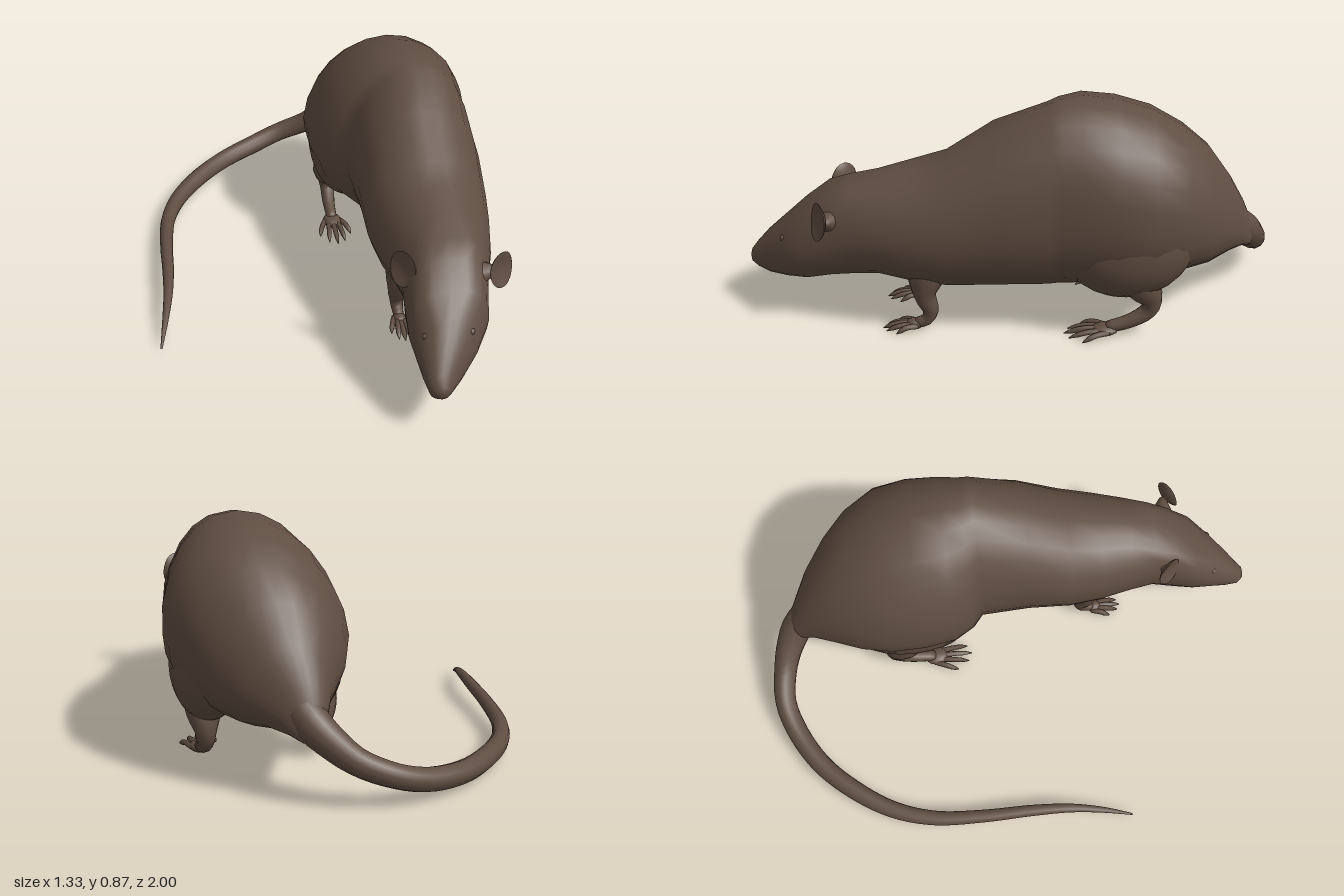
import * as THREE from 'three';

const fur = new THREE.MeshStandardMaterial({ color: 0x5f4d41 });
fur.name = 'brown fur';

// Skin a list of closed rings, with a pole at each end
function skin(rings, startPole, endPole) {
  const n = rings[0].length, pos = [], idx = [];
  rings.forEach(r => r.forEach(p => pos.push(p.x, p.y, p.z)));
  const s = rings.length * n, e = s + 1, last = (rings.length - 1) * n;
  pos.push(startPole.x, startPole.y, startPole.z, endPole.x, endPole.y, endPole.z);
  for (let i = 0; i < n; i++) {
    const j = (i + 1) % n;
    idx.push(s, j, i, e, last + i, last + j);
    for (let k = 0; k < rings.length - 1; k++) {
      const a = k * n + i, b = k * n + j;
      idx.push(a, b, b + n, a, b + n, a + n);
    }
  }
  const g = new THREE.BufferGeometry();
  g.setAttribute('position', new THREE.Float32BufferAttribute(pos, 3));
  g.setIndex(idx);
  g.computeVertexNormals();
  return g;
}

// Tapered tube through points [x, y, z, radius]
function taper(pts, steps, sides) {
  const curve = new THREE.CatmullRomCurve3(pts.map(p => new THREE.Vector3(p[0], p[1], p[2])));
  const f = curve.computeFrenetFrames(steps);
  const rings = [];
  for (let k = 0; k <= steps; k++) {
    const u = k / steps, t = curve.getUtoTmapping(u) * (pts.length - 1);
    const i = Math.min(Math.floor(t), pts.length - 2);
    const r = THREE.MathUtils.lerp(pts[i][3], pts[i + 1][3], t - i);
    const c = curve.getPointAt(u), ring = [];
    for (let s = 0; s < sides; s++) {
      const a = s / sides * Math.PI * 2;
      ring.push(c.clone().addScaledVector(f.normals[k], r * Math.cos(a))
        .addScaledVector(f.binormals[k], r * Math.sin(a)));
    }
    rings.push(ring);
  }
  const p0 = pts[0], p1 = pts[pts.length - 1];
  return skin(rings,
    curve.getPointAt(0).addScaledVector(f.tangents[0], -p0[3] * 0.5),
    curve.getPointAt(1).addScaledVector(f.tangents[steps], p1[3] * 0.5));
}

// Torso and head sections: z, right x, left x, bottom y, top y
const SECTIONS = [
  [-0.89, 0.19, 0.28, 0.22, 0.32],
  [-0.85, 0.17, 0.33, 0.23, 0.41],
  [-0.79, 0.145, 0.42, 0.24, 0.52],
  [-0.70, 0.10, 0.52, 0.22, 0.65],
  [-0.60, 0.05, 0.59, 0.21, 0.745],
  [-0.48, 0.016, 0.65, 0.20, 0.818],
  [-0.35, 0.015, 0.66, 0.185, 0.86],
  [-0.23, 0.035, 0.645, 0.175, 0.875],
  [-0.15, 0.085, 0.63, 0.172, 0.863],
  [-0.11, 0.133, 0.63, 0.17, 0.852],
  [0.08, 0.14, 0.625, 0.165, 0.775],
  [0.25, 0.142, 0.61, 0.165, 0.66],
  [0.38, 0.155, 0.585, 0.18, 0.62],
  [0.50, 0.178, 0.555, 0.20, 0.585],
  [0.60, 0.20, 0.52, 0.19, 0.555],
  [0.68, 0.19, 0.495, 0.175, 0.527],
  [0.77, 0.185, 0.475, 0.158, 0.455],
  [0.85, 0.195, 0.42, 0.15, 0.385],
  [0.92, 0.205, 0.355, 0.145, 0.315],
  [0.97, 0.215, 0.305, 0.155, 0.255],
  [0.993, 0.235, 0.285, 0.175, 0.225],
];

// Point on a section: low full flanks on the rump, a leaning back, a square crown
function onBody([z, l, r, b, t], a) {
  const c = Math.cos(a), s = Math.sin(a);
  const rump = THREE.MathUtils.smoothstep(-z, 0, 0.2);
  const crown = z > 0.55 && z < 0.8;
  const power = s > 0 ? (crown ? 0.65 : 1) : (z < 0.45 ? 0.85 - 0.1 * rump : 1);
  const mid = b + (t - b) * (0.5 - 0.08 * rump);
  const x = (l + r) / 2 + (r - l) / 2 * Math.sign(c) * Math.abs(c) ** power;
  const lean = z > -0.65 ? 0.03 * rump * Math.max(s, 0) : 0;
  return new THREE.Vector3(x + lean, mid + s * (s > 0 ? t - mid : mid - b), z);
}

export function createModel() {
  const model = new THREE.Group();
  const add = (name, geo, parent = model) => {
    const m = new THREE.Mesh(geo, fur);
    m.name = name;
    parent.add(m);
    return m;
  };

  // Torso and head in one skin
  const rings = SECTIONS.map(s =>
    Array.from({ length: 24 }, (_, i) => onBody(s, i / 24 * Math.PI * 2)));
  add('body', skin(rings, new THREE.Vector3(0.23, 0.27, -0.9), new THREE.Vector3(0.26, 0.2, 1)));

  // Tail sweeping round to the right side
  add('tail', taper([
    [0.30, 0.40, -0.70, 0.07], [0.235, 0.29, -0.85, 0.066], [0.17, 0.225, -0.905, 0.055],
    [0.09, 0.165, -0.94, 0.046], [-0.03, 0.115, -0.957, 0.042], [-0.15, 0.08, -0.925, 0.042],
    [-0.30, 0.062, -0.84, 0.04], [-0.43, 0.058, -0.71, 0.038], [-0.53, 0.056, -0.56, 0.034],
    [-0.585, 0.06, -0.40, 0.03], [-0.605, 0.072, -0.20, 0.026], [-0.61, 0.082, 0, 0.023],
    [-0.62, 0.08, 0.15, 0.018], [-0.64, 0.058, 0.28, 0.012], [-0.664, 0.02, 0.395, 0.004],
  ], 60, 12));

  // Haunches filling out the lower flanks
  for (const [name, c, r] of [
    ['rightHaunch', [0.165, 0.375, -0.40], [0.135, 0.21, 0.255]],
    ['leftHaunch', [0.515, 0.365, -0.39], [0.13, 0.205, 0.24]],
  ]) {
    const h = add(name, new THREE.SphereGeometry(1, 24, 16));
    h.position.set(...c);
    h.scale.set(...r);
  }

  // Paw: flattened pad with five toes and pointed claws
  function paw(name, x, z, spread, reach) {
    const g = new THREE.Group();
    g.name = name;
    g.position.set(x, 0, z);
    const pad = add('pad', new THREE.SphereGeometry(1, 12, 8), g);
    pad.position.set(0, 0.027, 0.01);
    pad.scale.set(spread * 0.6, 0.02, spread * 0.75);
    for (let i = -2; i <= 2; i++) {
      const s = i / 2, len = reach * (1 - 0.4 * s * s);
      add('toe', taper([
        [s * spread * 0.4, 0.025, 0, 0.012], [s * spread * 0.75, 0.028, len * 0.5, 0.011],
        [s * spread * 0.92, 0.019, len * 0.8, 0.010], [s * spread, 0.009, len, 0.002],
      ], 8, 6), g);
    }
    model.add(g);
  }

  // Legs on both sides, rooted inside the body; d points outward
  for (const [side, hx, fx, d] of [['right', 0.115, 0.255, -1], ['left', 0.535, 0.485, 1]]) {
    add(side + 'HindLeg', taper([
      [hx - d * 0.04, 0.31, -0.39, 0.10], [hx - d * 0.005, 0.215, -0.445, 0.07],
      [hx - d * 0.005, 0.145, -0.485, 0.04], [hx - d * 0.005, 0.10, -0.475, 0.031],
      [hx, 0.06, -0.41, 0.026], [hx, 0.034, -0.33, 0.022],
    ], 20, 12));
    paw(side + 'HindPaw', hx, -0.33, 0.066, 0.16);

    add(side + 'FrontLeg', taper([
      [fx - d * 0.06, 0.32, 0.31, 0.10], [fx - d * 0.015, 0.215, 0.33, 0.07],
      [fx, 0.15, 0.335, 0.042], [fx, 0.08, 0.315, 0.028],
      [fx, 0.045, 0.33, 0.023], [fx, 0.03, 0.365, 0.02],
    ], 18, 12));
    paw(side + 'FrontPaw', fx, 0.365, 0.044, 0.125);
  }

  // Ears: thin cupped discs on broad roots
  for (const [name, c, yaw, root] of [
    ['rightEar', [0.2, 0.472, 0.635], -0.9, [0.25, 0.43, 0.66]],
    ['leftEar', [0.522, 0.467, 0.685], 0.55, [0.44, 0.43, 0.66]],
  ]) {
    const geo = new THREE.SphereGeometry(1, 20, 12);
    geo.scale(0.056, 0.07, 0.009);
    const p = geo.attributes.position;
    for (let i = 0; i < p.count; i++) {
      const q = p.getX(i) ** 2 + p.getY(i) ** 2;
      p.setZ(i, p.getZ(i) + q * 4);
    }
    geo.computeVertexNormals();
    const ear = add(name, geo);
    ear.position.set(...c);
    ear.rotation.set(-0.15, yaw, 0, 'YXZ');
    add(name + 'Base', taper([
      [...root, 0.05], [(root[0] + c[0]) / 2, 0.445, (root[2] + c[2]) / 2 - 0.005, 0.036],
      [c[0], c[1] - 0.012, c[2] - 0.01, 0.012],
    ], 6, 10));
  }

  // Eyes: low bumps on the cheeks
  const cheek = SECTIONS.find(s => s[0] === 0.85);
  for (const [name, a] of [['rightEye', Math.PI - 0.67], ['leftEye', 0.67]]) {
    const eye = add(name, new THREE.SphereGeometry(0.014, 12, 8));
    eye.position.copy(onBody(cheek, a)).lerp(new THREE.Vector3(0.307, 0.267, 0.82), 0.09);
  }
  return model;
}
